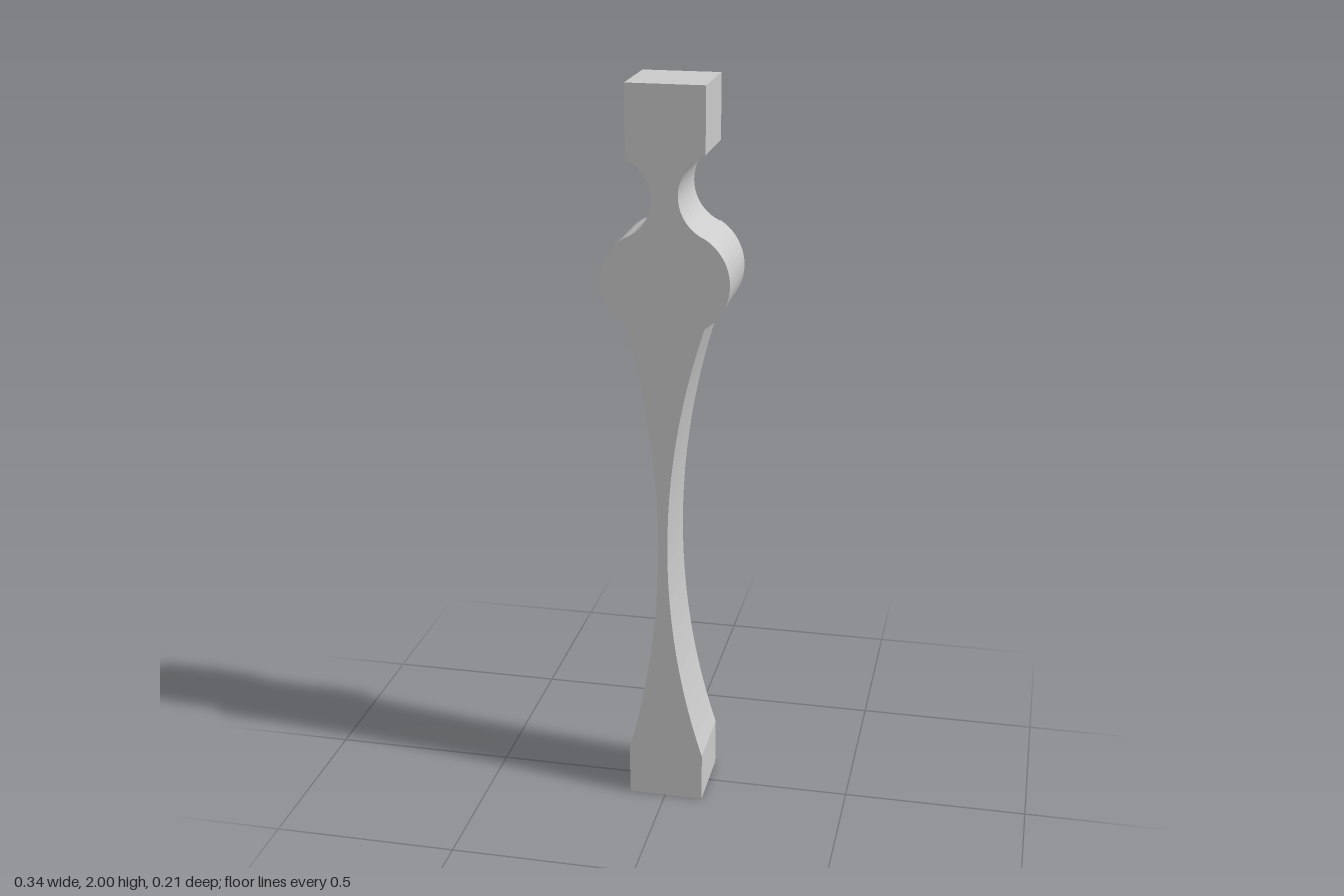
import * as THREE from 'three';

const material = new THREE.MeshStandardMaterial({ color: 0xcccccc, flatShading: true });
const FRONT = 0.106;

// Points on the vertical arc from (x, y0) to (x, y1) whose middle lies at xMid
function arc(x, y0, y1, xMid, segments) {
  const half = (y1 - y0) / 2;
  const sag = Math.abs(xMid - x);
  const side = Math.sign(xMid - x);
  const r = (half * half + sag * sag) / (2 * sag);
  const sweep = Math.asin(half / r);
  const points = [];
  for (let i = 0; i <= segments; i++) {
    const a = sweep * (2 * i / segments - 1);
    points.push(new THREE.Vector2(
      x + side * (r * Math.cos(a) - (r - sag)),
      (y0 + y1) / 2 + r * Math.sin(a)
    ));
  }
  return points;
}

// Slab with the given outline, from z = back to the shared front plane
function slab(name, points, back) {
  const geometry = new THREE.ExtrudeGeometry(new THREE.Shape(points), {
    depth: FRONT - back, bevelEnabled: false
  });
  geometry.translate(0, 0, back);
  const mesh = new THREE.Mesh(geometry, material);
  mesh.name = name;
  return mesh;
}

export function createModel() {
  const group = new THREE.Group();
  group.name = 'baluster';

  // Bottom-to-top outlines of the two sides: foot, long waist, neck, head
  const right = [
    new THREE.Vector2(0.105, 0),
    ...arc(0.105, 0.135, 1.38, 0.007, 24),
    ...arc(0.105, 1.615, 1.828, 0.035, 20),
    new THREE.Vector2(0.105, 2)
  ];
  const left = [
    new THREE.Vector2(-0.101, 0),
    ...arc(-0.101, 0.142, 1.375, -0.018, 24),
    ...arc(-0.101, 1.61, 1.81, -0.034, 20),
    new THREE.Vector2(-0.101, 2)
  ];
  group.add(slab('post', [...right, ...left.reverse()], -0.102));

  // Rounded cheeks on each side, reaching slightly further back than the post
  group.add(slab('leftBulge', arc(0.105, 1.38, 1.615, 0.17, 20), -0.108));
  group.add(slab('rightBulge', arc(-0.101, 1.375, 1.61, -0.17, 20), -0.104));

  return group;
}
